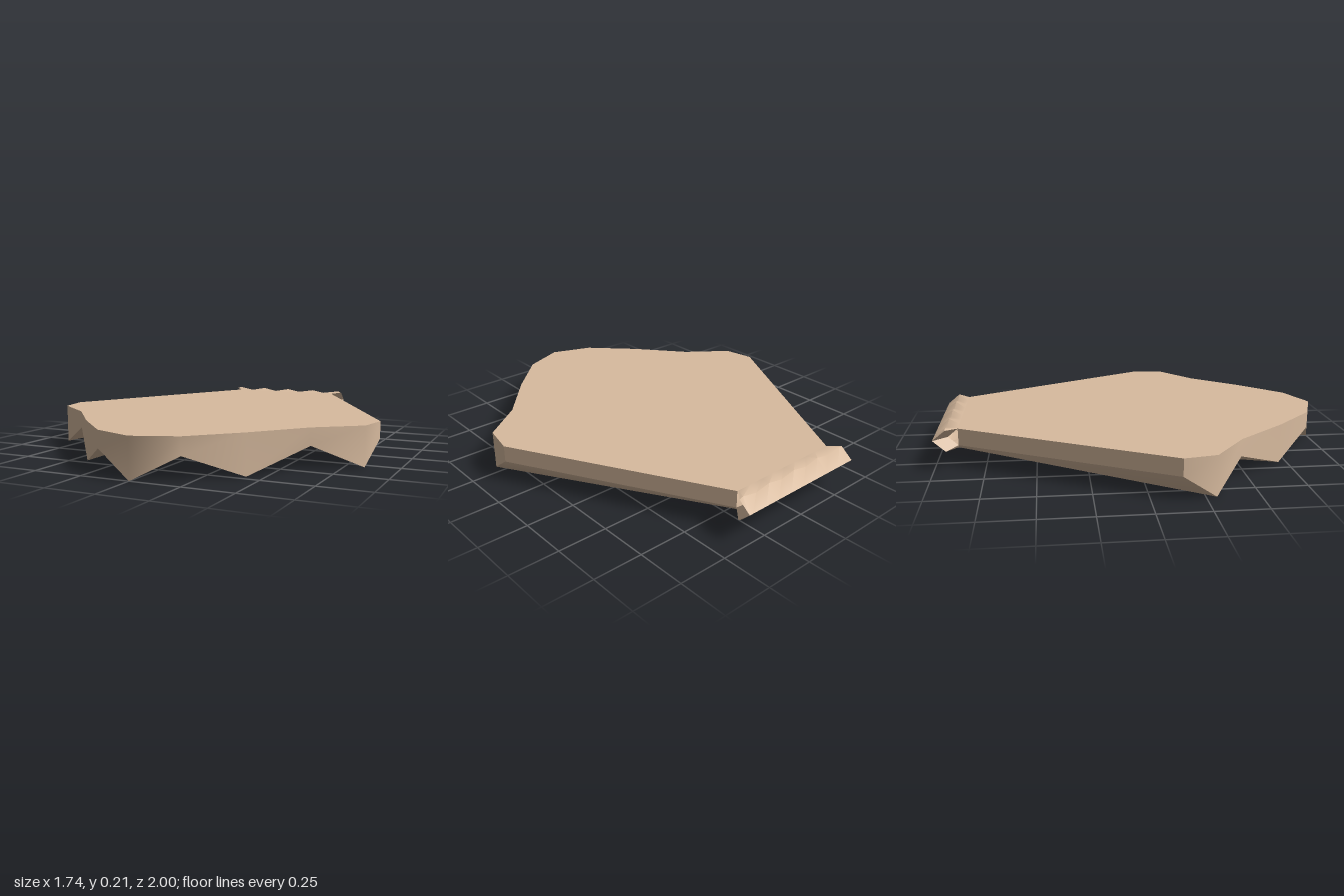
import * as THREE from 'three';
import { toCreasedNormals } from 'three/addons/utils/BufferGeometryUtils.js';

const TOP = 0.197;

// Right half of the scalloped rim: x, z, bottom y
const RIM = [
  [0, 1, 0], [0.21, 0.92, 0.112], [0.42, 0.71, 0],
  [0.63, 0.46, 0.112], [0.84, 0.3, 0], [0.87, 0.14, 0.112],
];
const COLUMNS = Array.from({ length: 11 }, (_, i) => i - 5);

// Height of the rib wave on each column (ribs fall on even columns)
const wave = (k) => (Math.abs(k) === 5 ? 0.6 : k % 2 === 0 ? 1 : 0);
const spread = (k, step, end) => Math.sign(k) * (Math.abs(k) === 5 ? end : Math.abs(k) * step);

const rimPoint = (k, y) => {
  const [x, z, low] = RIM[Math.abs(k)];
  return [Math.sign(k) * x, y ?? low, z];
};
const neckPoint = (k, y) => [
  spread(k, 0.075, 0.31),
  y ?? (Math.abs(k) === 5 ? 0.112 : 0.112 - 0.014 * wave(k)),
  -0.88,
];
const rollPoint = (k, y, z) => [spread(k, 0.084, 0.357), y, z];

// Hinge cross-section on one column, from below, round the back, to the top
const hingeSection = (k) => [
  neckPoint(k),
  rollPoint(k, 0.104 - 0.015 * wave(k), -0.937),
  rollPoint(k, 0.152, -1),
  rollPoint(k, 0.192 + 0.016 * wave(k), -0.937),
  neckPoint(k, TOP),
];

export function createModel() {
  const group = new THREE.Group();
  const shellColour = new THREE.MeshStandardMaterial({ color: 0xd8bb9f, side: THREE.DoubleSide });
  shellColour.name = 'sandy shell';

  const addMesh = (name, triangles, crease) => {
    let geometry = new THREE.BufferGeometry();
    geometry.setAttribute('position', new THREE.Float32BufferAttribute(triangles.flat(2), 3));
    geometry = toCreasedNormals(geometry, crease);
    const mesh = new THREE.Mesh(geometry, shellColour);
    mesh.name = name;
    group.add(mesh);
  };

  // Joins rows of points into a surface
  const addSurface = (name, rows, crease = 1) => {
    const triangles = [];
    for (let r = 0; r < rows.length - 1; r++) {
      for (let c = 0; c < rows[r].length - 1; c++) {
        const a = rows[r][c], b = rows[r][c + 1];
        const d = rows[r + 1][c], e = rows[r + 1][c + 1];
        triangles.push([a, d, b], [b, d, e]);
      }
    }
    addMesh(name, triangles, crease);
  };

  // Flat lid, scalloped front wall and ribbed underside
  addSurface('topFace', [
    COLUMNS.map((k) => neckPoint(k, TOP)),
    COLUMNS.map((k) => rimPoint(k, TOP)),
  ]);
  addSurface('frontRim', [
    COLUMNS.map((k) => rimPoint(k, TOP)),
    COLUMNS.map((k) => rimPoint(k)),
  ]);
  addSurface('ribbedUnderside', [
    COLUMNS.map((k) => rimPoint(k)),
    COLUMNS.map((k) => neckPoint(k)),
  ], 1.3);

  // Straight side walls
  addSurface('leftWall', [
    [rimPoint(5, TOP), neckPoint(5, TOP)],
    [rimPoint(5), neckPoint(5)],
  ]);
  addSurface('rightWall', [
    [neckPoint(-5, TOP), rimPoint(-5, TOP)],
    [neckPoint(-5), rimPoint(-5)],
  ]);

  // Wavy hinge roll across the back
  const sections = COLUMNS.map(hingeSection);
  addSurface('hinge', sections[0].map((_, i) => sections.map((s) => s[i])), 0.9);

  // Hollowed ends of the hinge
  for (const side of [1, -1]) {
    const section = hingeSection(5 * side);
    const centre = [0.305 * side, 0.155, -0.93];
    const triangles = section.slice(1).map((p, i) =>
      side > 0 ? [centre, section[i], p] : [centre, p, section[i]]);
    addMesh(side > 0 ? 'leftHingeEnd' : 'rightHingeEnd', triangles, 0.3);
  }
  return group;
}
